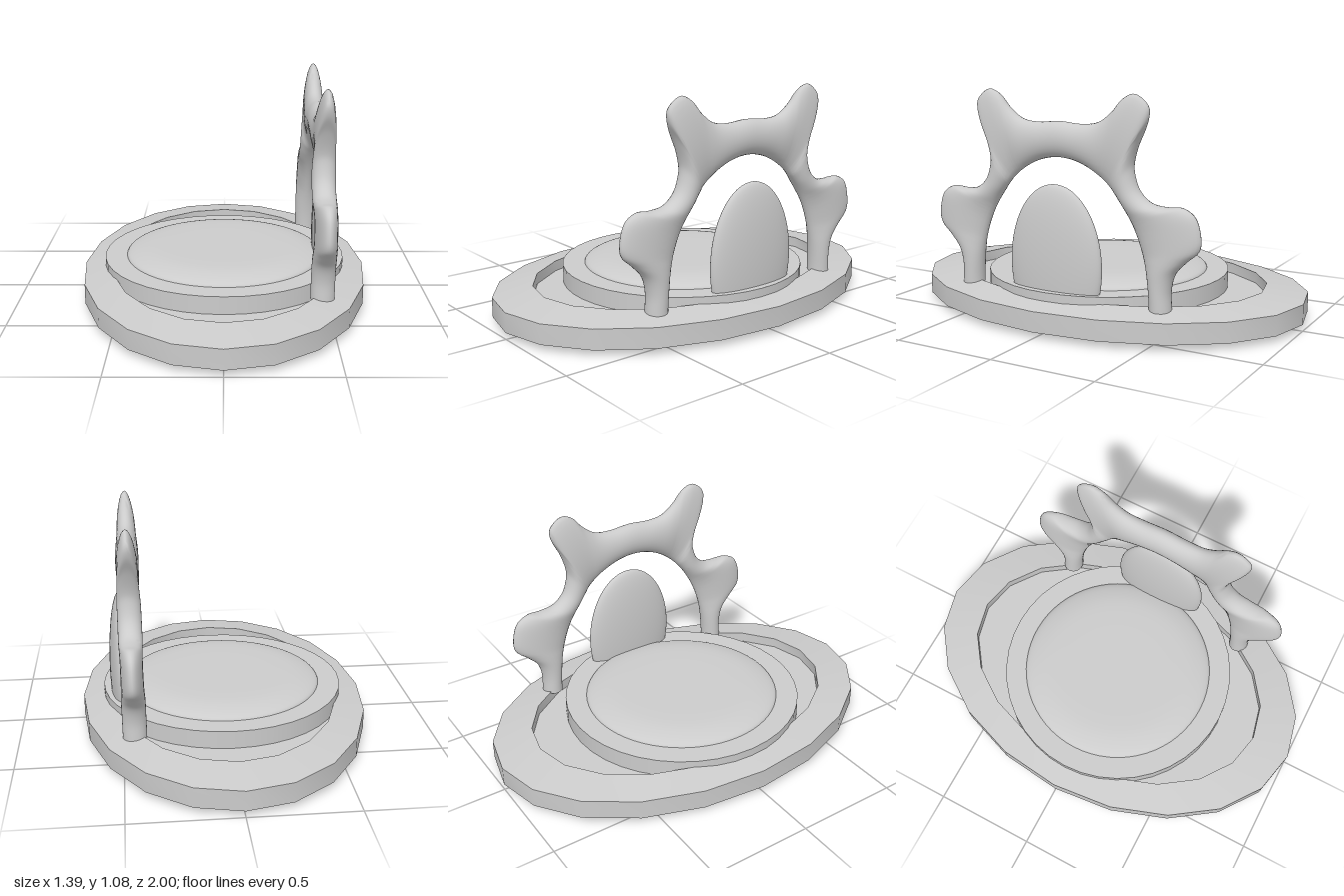
import * as THREE from 'three';
import { toCreasedNormals } from 'three/addons/utils/BufferGeometryUtils.js';

const pts = (list) => list.map(([x, y]) => new THREE.Vector2(x, y));

function add(group, name, geometry) {
  const mesh = new THREE.Mesh(geometry, new THREE.MeshStandardMaterial({ color: 0xcccccc }));
  mesh.name = name;
  group.add(mesh);
  return mesh;
}

// Arch lofted from rounded sections that span its inner ellipse and its lobed outer outline.
function archGeometry() {
  // outer outline z, y, and the matching angle on the inner ellipse
  const half = [
    [.555, .14, 0], [.553, .23, .14], [.575, .31, .237], [.63, .37, .318], [.685, .42, .384],
    [.695, .48, .453], [.67, .565, .524], [.61, .603, .588], [.54, .6, .656], [.46, .61, .726],
    [.4, .66, .802], [.372, .74, .86], [.375, .8, .909], [.405, .89, .94], [.445, .97, .97],
    [.445, 1.03, .995], [.385, 1.075, 1.034], [.325, 1.055, 1.065], [.27, .995, 1.113],
    [.2, .947, 1.203], [.11, .935, 1.376], [0, .943, Math.PI / 2],
  ];
  const mirrored = half.slice(0, -1).reverse().map(([z, y, a]) => [-z, y, Math.PI - a]);
  const curve = new THREE.CatmullRomCurve3(
    [...half, ...mirrored].map((p) => new THREE.Vector3(...p)), false, 'catmullrom', 0.5);
  const stations = 210, sides = 28, positions = [], index = [];

  for (let i = 0; i <= stations; i++) {
    const { x: outZ, y: outY, z: a } = curve.getPoint(i / stations);
    const inZ = 0.455 * Math.cos(a), inY = 0.14 + 0.64 * Math.sin(a);
    // long sections reach into a lobe or horn and get thinner towards its tip
    const reach = THREE.MathUtils.smoothstep(Math.hypot(outZ - inZ, outY - inY), 0.12, 0.4);
    for (let j = 0; j < sides; j++) {
      const t = (j / sides) * Math.PI * 2, k = (1 + Math.cos(t)) / 2;
      const y = THREE.MathUtils.lerp(inY, outY, k);
      const lean = 0.447 + 0.014 * (y - 0.14);
      const thickness = 0.055 * (1 - 0.25 * reach * k);
      positions.push(lean + thickness * Math.sin(t), y, THREE.MathUtils.lerp(inZ, outZ, k));
      if (i < stations) {
        const n = (j + 1) % sides;
        const p = i * sides + j, q = i * sides + n, r = p + sides, s = q + sides;
        index.push(p, q, r, q, s, r);
      }
    }
  }
  // flat soles under both feet
  const last = stations * sides;
  for (let j = 1; j < sides - 1; j++) {
    index.push(0, j + 1, j, last, last + j, last + j + 1);
  }
  const geometry = new THREE.BufferGeometry();
  geometry.setAttribute('position', new THREE.Float32BufferAttribute(positions, 3));
  geometry.setIndex(index);
  return toCreasedNormals(geometry, Math.PI / 3);
}

export function createModel() {
  const model = new THREE.Group();
  model.name = 'archedPlatform';

  // Oval base with a raised rim, recessed above and below
  const base = new THREE.LatheGeometry(pts([
    [0, .025], [.8, .025], [.8, 0], [1, .03], [1, .125], [.8, .152], [.8, .1], [0, .1],
  ]), 20);
  base.scale(0.695, 1, 1);
  add(model, 'ovalBase', toCreasedNormals(base, Math.PI / 6));

  // Round step
  const step = new THREE.CylinderGeometry(0.592, 0.592, 0.09, 40);
  add(model, 'roundStep', step).position.set(0, 0.14, 0.007);

  // Soft cushion
  const cushionProfile = new THREE.SplineCurve(pts([
    [.487, .18], [.475, .197], [.435, .213], [.37, .226], [.28, .231], [.14, .232], [0, .232],
  ])).getPoints(36);
  add(model, 'cushion', new THREE.LatheGeometry(cushionProfile, 64)).position.z = 0.005;

  // Thin egg-shaped back panel, cut off inside the step
  const panel = new THREE.SphereGeometry(1, 48, 32, 0, Math.PI * 2, 0, 2.08);
  panel.scale(0.06, 0.37, 0.24);
  add(model, 'backPanel', panel).position.set(0.5, 0.293, 0);

  // Lobed arch
  add(model, 'lobedArch', archGeometry());

  return model;
}
